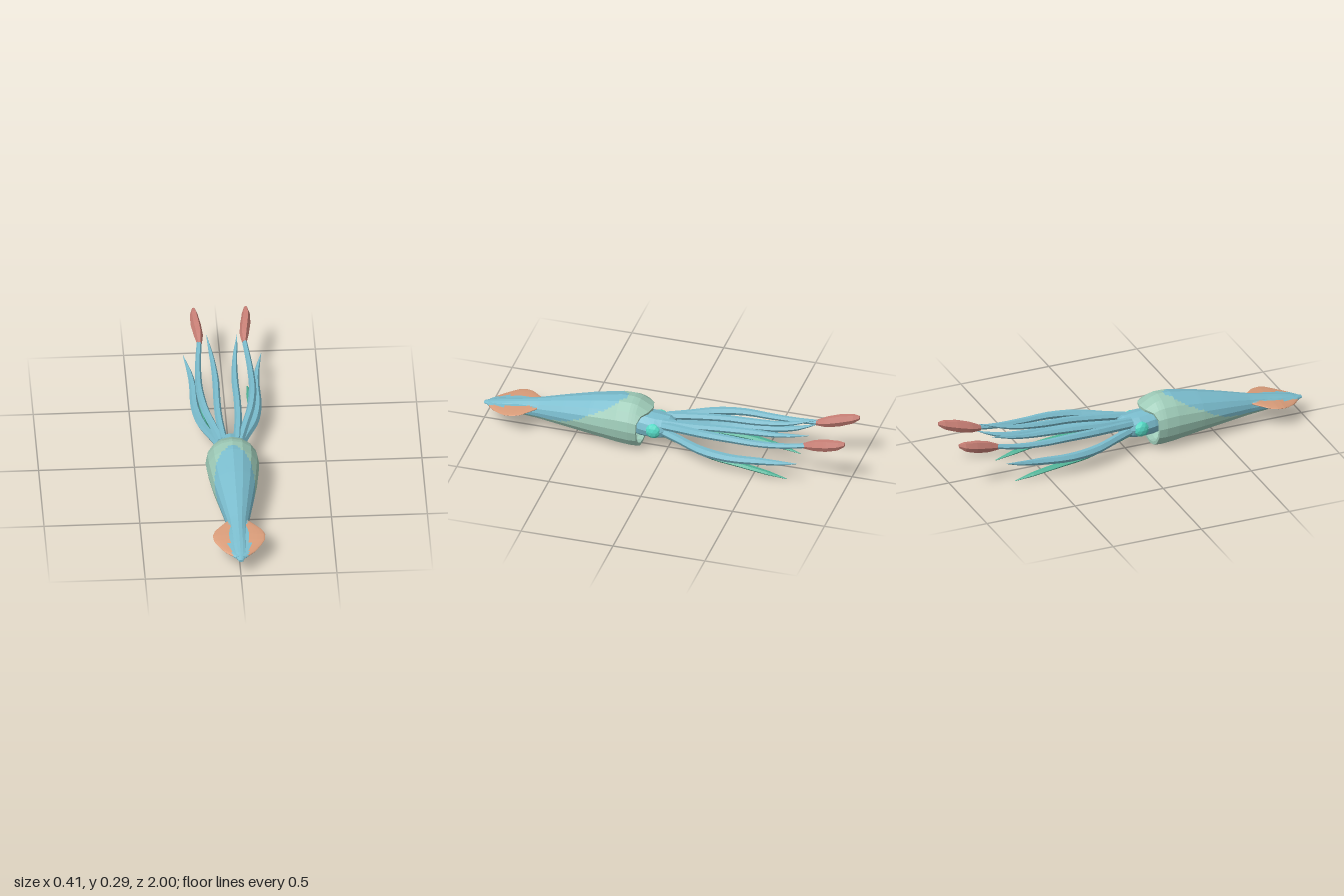
import * as THREE from 'three';

const mat = (name, color) => {
  const m = new THREE.MeshStandardMaterial({ color, flatShading: true });
  m.name = name;
  return m;
};

// Skin over a list of rings (arrays of Vector3); pick(i, j, n) gives the material index of a face.
function loft(rings, pick = () => 0) {
  const buckets = [];
  const put = (k, ...pts) => {
    buckets[k] ??= [];
    for (const p of pts) buckets[k].push(p.x, p.y, p.z);
  };
  const n = rings[0].length;
  const last = rings.length - 1;
  for (let i = 0; i < last; i++) {
    for (let j = 0; j < n; j++) {
      const k = (j + 1) % n;
      const a = rings[i][j], b = rings[i][k], c = rings[i + 1][k], d = rings[i + 1][j];
      put(pick(i, j, n), a, b, c, a, c, d);
    }
  }
  // End caps
  const mid = (r) => r.reduce((s, p) => s.add(p), new THREE.Vector3()).divideScalar(n);
  const m0 = mid(rings[0]), m1 = mid(rings[last]);
  for (let j = 0; j < n; j++) {
    const k = (j + 1) % n;
    put(pick(0, j, n), m0, rings[0][k], rings[0][j]);
    put(pick(last - 1, j, n), m1, rings[last][j], rings[last][k]);
  }
  const geo = new THREE.BufferGeometry();
  geo.setAttribute('position', new THREE.Float32BufferAttribute(buckets.flat(), 3));
  let start = 0;
  buckets.forEach((b, k) => {
    geo.addGroup(start, b.length / 3, k);
    start += b.length / 3;
  });
  geo.computeVertexNormals();
  return geo;
}

// Elliptical ring in an xy plane; dir = 1 for rings stacked towards +z, -1 towards -z.
const ring = (x, y, z, rx, ry, n, dir) => Array.from({ length: n }, (_, j) => {
  const a = (j / n) * Math.PI * 2;
  return new THREE.Vector3(x + rx * Math.cos(a), y + dir * ry * Math.sin(a), z);
});

// Linear lookup in rows sorted by their first entry
function lookup(rows, t) {
  let i = 0;
  while (i < rows.length - 2 && t > rows[i + 1][0]) i++;
  const [a, b] = [rows[i], rows[i + 1]];
  const f = THREE.MathUtils.clamp((t - a[0]) / (b[0] - a[0]), 0, 1);
  return a.map((v, k) => v + (b[k] - v) * f);
}

const steps = (from, to, n) => Array.from({ length: n + 1 }, (_, i) => from + ((to - from) * i) / n);

export function createModel() {
  const blue = mat('blue skin', 0x7abccd);
  const sage = mat('sage skin', 0x9dcab7);
  const orange = mat('orange fin', 0xd99c79);
  const red = mat('red club', 0xc98076);
  const green = mat('green arm', 0x4fb498);
  const teal = mat('teal eye', 0x55dac6);

  const model = new THREE.Group();
  const add = (name, geo, material, parent = model) => {
    const m = new THREE.Mesh(geo, material);
    m.name = name;
    parent.add(m);
    return m;
  };

  // Mantle: z, top, bottom, half width
  const profile = [
    [0.14, 0.268, 0.004, 0.134], [0.18, 0.28, 0, 0.139], [0.25, 0.28, 0.005, 0.136],
    [0.4, 0.25, 0.027, 0.117], [0.55, 0.213, 0.043, 0.087], [0.7, 0.172, 0.058, 0.056],
    [0.8, 0.15, 0.066, 0.046], [0.88, 0.134, 0.075, 0.044], [0.95, 0.118, 0.083, 0.034],
    [1, 0.103, 0.09, 0.012],
  ];
  const SIDES = 16;
  const mantleRing = (z, scale = 1, flap = 0) => {
    const [, top, bottom, w] = lookup(profile, z);
    const corners = ring(0, (top + bottom) / 2, z, w * scale, ((top - bottom) / 2) * scale, SIDES, 1);
    // The upper lip runs forward over the head and dips
    corners.forEach((p, j) => {
      const lift = Math.max(0, Math.sin((j / SIDES) * Math.PI * 2) - 0.6) / 0.4;
      p.z -= flap * 0.06 * lift;
      p.y -= flap * 0.035 * lift;
    });
    return corners.flatMap((p, j) => [0, 0.25, 0.5, 0.75].map((f) => p.clone().lerp(corners[(j + 1) % SIDES], f)));
  };
  const zs = steps(0.15, 1, 50);
  const inner = [mantleRing(0.24, 0.6), mantleRing(0.17, 0.86), mantleRing(0.14, 0.88, 1), mantleRing(0.14, 1, 1)];
  // Blue back patch: lowest height it reaches (sine of the angle) along z
  const patch = [[0.215, 1], [0.24, 0.96], [0.3, 0.75], [0.4, 0.42], [0.47, 0.12], [0.52, -0.15],
    [0.62, -0.38], [0.75, -0.5], [0.86, -0.65], [0.93, -1.1]];
  const mantlePick = (i, j, n) => {
    if (i < inner.length) return 0;
    const z = (zs[i - inner.length] + zs[i - inner.length + 1]) / 2;
    return Math.sin(((j + 0.5) / n) * Math.PI * 2) > lookup(patch, z)[1] ? 1 : 0;
  };
  add('mantle', loft([...inner, ...zs.map((z) => mantleRing(z))], mantlePick), [sage, blue]);

  // Tail fins: one thin lens through the mantle (z, half width, y, half width of the blue middle)
  const finRows = [
    [0.7, 0.055, 0.137, 0.052], [0.73, 0.085, 0.134, 0.046], [0.77, 0.123, 0.129, 0.036],
    [0.81, 0.137, 0.125, 0.04], [0.85, 0.132, 0.119, 0.042], [0.885, 0.112, 0.112, 0.066],
    [0.93, 0.08, 0.105, 0.046], [0.975, 0.028, 0.1, 0.04],
  ];
  const finSteps = steps(0.7, 0.975, 22);
  const finPick = (i, j, n) => {
    const [, w, , middle] = lookup(finRows, (finSteps[i] + finSteps[i + 1]) / 2);
    return Math.abs(Math.cos(((j + 0.5) / n) * Math.PI * 2)) * w < middle ? 1 : 0;
  };
  const finRings = finSteps.map((z) => {
    const [, w, y] = lookup(finRows, z);
    return ring(0, y, z, w, 0.011, 32, 1);
  });
  add('tailFins', loft(finRings, finPick), [orange, blue]);

  // Head: z, y, rx, ry
  const headRows = [
    [0.22, 0.135, 0.06, 0.055], [0.14, 0.135, 0.08, 0.07], [0.1, 0.133, 0.086, 0.068],
    [0.06, 0.132, 0.092, 0.066], [0.02, 0.132, 0.08, 0.062], [-0.01, 0.135, 0.064, 0.056],
    [-0.035, 0.135, 0.042, 0.038],
  ];
  add('head', loft(headRows.map(([z, y, rx, ry]) => ring(0, y, z, rx, ry, 12, -1))), blue);

  // Arm: loft along a smooth path with a radius profile
  const limb = (pts, s, radii, tall = 1) => {
    const curve = new THREE.CatmullRomCurve3(pts.map(([x, y, z]) => new THREE.Vector3(x * s, y, z)));
    return loft(steps(0, 1, 14).map((t) => {
      const p = curve.getPointAt(t);
      const r = lookup(radii, t)[1];
      return ring(p.x, p.y, p.z, r, r * tall, 6, -1);
    }));
  };
  const taper = [[0, 0.021], [0.3, 0.019], [0.6, 0.018], [0.85, 0.011], [1, 0.001]];
  const thick = [[0, 0.022], [0.35, 0.025], [0.7, 0.02], [0.88, 0.012], [1, 0.001]];
  const flat = [[0, 0.02], [0.5, 0.022], [0.85, 0.017], [1, 0.003]];
  const even = [[0, 0.022], [0.4, 0.021], [0.75, 0.016], [1, 0.013]];
  const clubRadii = [[0, 0.012], [0.25, 0.024], [0.55, 0.027], [0.85, 0.021], [1, 0.009]];

  const upperPath = [[0.035, 0.17, 0.02], [0.05, 0.185, -0.15], [0.053, 0.2, -0.3], [0.05, 0.208, -0.45],
    [0.058, 0.222, -0.62], [0.08, 0.263, -0.79]];
  const sidePath = [[0.05, 0.125, 0.02], [0.085, 0.115, -0.08], [0.135, 0.1, -0.22], [0.163, 0.1, -0.38],
    [0.165, 0.113, -0.55], [0.178, 0.13, -0.66], [0.204, 0.16, -0.76]];
  const lowerPath = [[0.04, 0.105, 0.02], [0.075, 0.09, -0.1], [0.122, 0.07, -0.26], [0.134, 0.054, -0.42],
    [0.133, 0.032, -0.56], [0.127, 0.007, -0.68]];
  const longPath = [[0.05, 0.16, 0.02], [0.08, 0.174, -0.09], [0.118, 0.192, -0.22], [0.138, 0.202, -0.38],
    [0.138, 0.2, -0.52], [0.13, 0.207, -0.66], [0.117, 0.226, -0.79]];
  const clubPath = [[0.117, 0.222, -0.77], [0.12, 0.236, -0.83], [0.129, 0.253, -0.9], [0.135, 0.268, -0.96],
    [0.136, 0.281, -1]];

  for (const [s, side] of [[1, 'left'], [-1, 'right']]) {
    const arms = new THREE.Group();
    arms.name = side + 'Arms';
    model.add(arms);
    add(side + 'UpperArm', limb(upperPath, s, taper), blue, arms);
    add(side + 'SideArm', limb(sidePath, s, thick), blue, arms);
    add(side + 'LowerArm', limb(lowerPath, s, flat, 0.65), green, arms);
    add(side + 'Tentacle', limb(longPath, s, even), blue, arms);
    add(side + 'TentacleClub', limb(clubPath, s, clubRadii, 1.3), red, arms);
    // Eye: flattened faceted ball
    const eye = add(side + 'Eye', new THREE.IcosahedronGeometry(0.043, 1), teal);
    eye.scale.x = 0.62;
    eye.position.set(s * 0.071, 0.132, 0.062);
  }
  return model;
}
